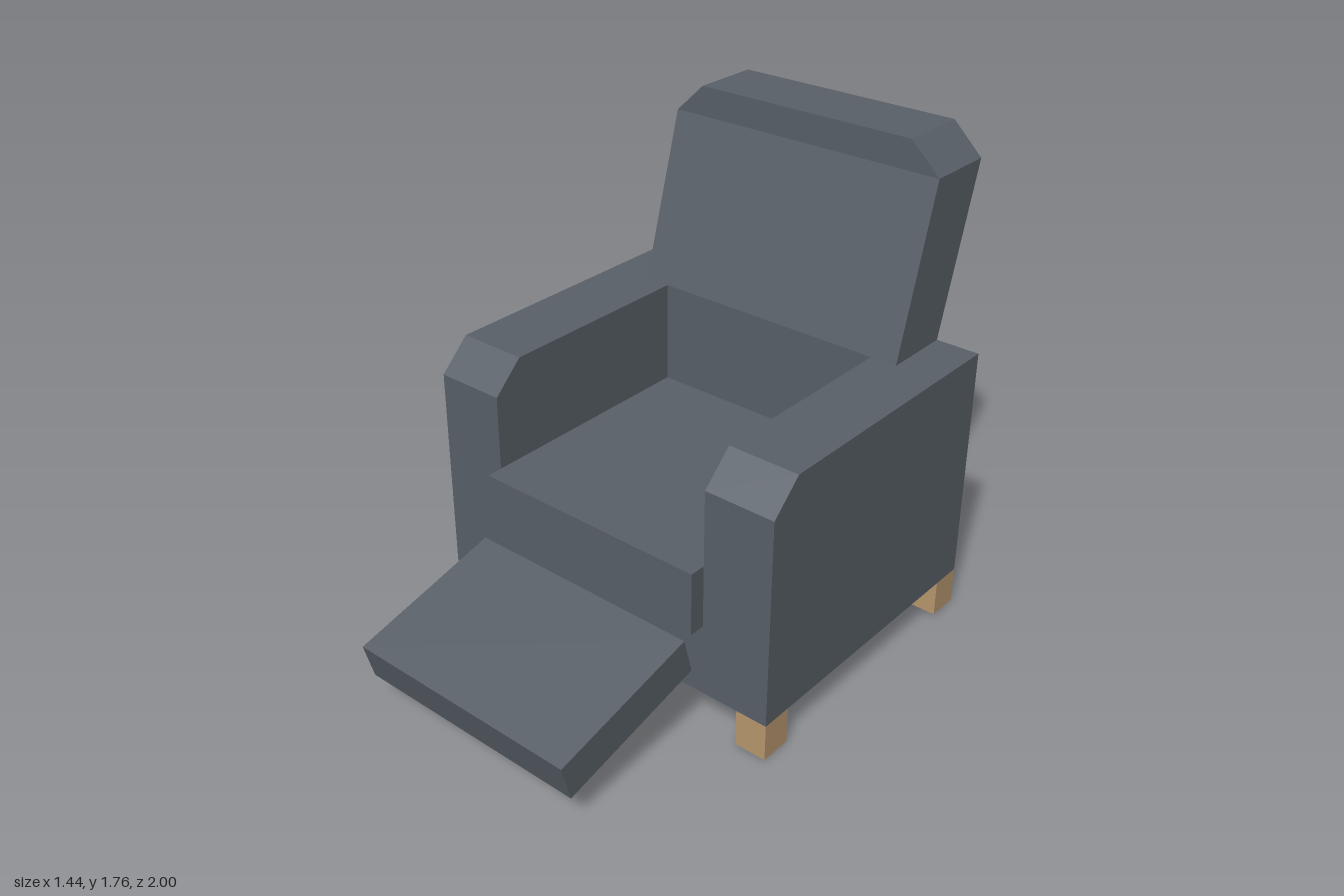
import * as THREE from 'three';

export function createModel() {
  const model = new THREE.Group();
  model.name = 'reclinerArmchair';

  const fabric = new THREE.MeshStandardMaterial({ name: 'slate fabric', color: 0x596068 });
  const wood = new THREE.MeshStandardMaterial({ name: 'light wood', color: 0xb8986f });
  const metal = new THREE.MeshStandardMaterial({ name: 'pale metal', color: 0xb8bdbe });

  const add = (name, geometry, material) => {
    const mesh = new THREE.Mesh(geometry, material);
    mesh.name = name;
    model.add(mesh);
  };

  const extrude = (points, depth) => {
    const shape = new THREE.Shape(points.map(([a, b]) => new THREE.Vector2(a, b)));
    return new THREE.ExtrudeGeometry(shape, { depth, bevelEnabled: false }).translate(0, 0, -depth / 2);
  };

  // Side profile of [z, y] points, swept across x around a centre
  const sideProfile = (name, points, width, x, material) =>
    add(name, extrude(points, width).rotateY(-Math.PI / 2).translate(x, 0, 0), material);

  const box = (name, [x0, x1], [y0, y1], [z0, z1], material) =>
    add(name, new THREE.BoxGeometry(x1 - x0, y1 - y0, z1 - z0)
      .translate((x0 + x1) / 2, (y0 + y1) / 2, (z0 + z1) / 2), material);

  // Base, lower back and seat cushion between the arms
  const inner = [-0.455, 0.455];
  box('seatBase', inner, [0.14, 0.41], [-0.82, 0.335], fabric);
  box('lowerBack', inner, [0.41, 1.035], [-0.82, -0.56], fabric);
  box('seatCushion', inner, [0.41, 0.645], [-0.56, 0.395], fabric);

  // Arms with a chamfered front, legs and footrest struts, mirrored
  for (const [side, s] of [['left', 1], ['right', -1]]) {
    sideProfile(`${side}Arm`,
      [[-0.82, 0.14], [0.335, 0.14], [0.335, 0.925], [0.22, 1.035], [-0.82, 1.035]],
      0.265, s * 0.5875, fabric);
    for (const [end, z] of [['Front', 0.275], ['Back', -0.76]]) {
      const leg = new THREE.BoxGeometry(0.12, 0.14, 0.12).translate(s * 0.66, 0.07, z);
      add(`${side}${end}Leg`, leg, wood);
    }
    sideProfile(`${side}FootrestStrut`,
      [[0.335, 0.145], [0.67, 0.2], [0.45, 0.285], [0.335, 0.285]],
      0.07, s * 0.305, metal);
  }

  // Reclined backrest and its headrest with clipped corners
  sideProfile('backrest',
    [[-0.82, 1.035], [-0.56, 1.035], [-0.735, 1.65], [-1, 1.65]], 1.11, 0, fabric);
  add('headrest', extrude(
    [[-0.555, 1.65], [0.555, 1.65], [0.44, 1.76], [-0.44, 1.76]], 0.265)
    .translate(0, 0, -0.8675), fabric);

  // Tilted footrest
  sideProfile('footrest',
    [[0.39, 0.265], [0.963, 0.122], [1, 0.262], [0.428, 0.405]], 0.91, 0, fabric);

  return model;
}
